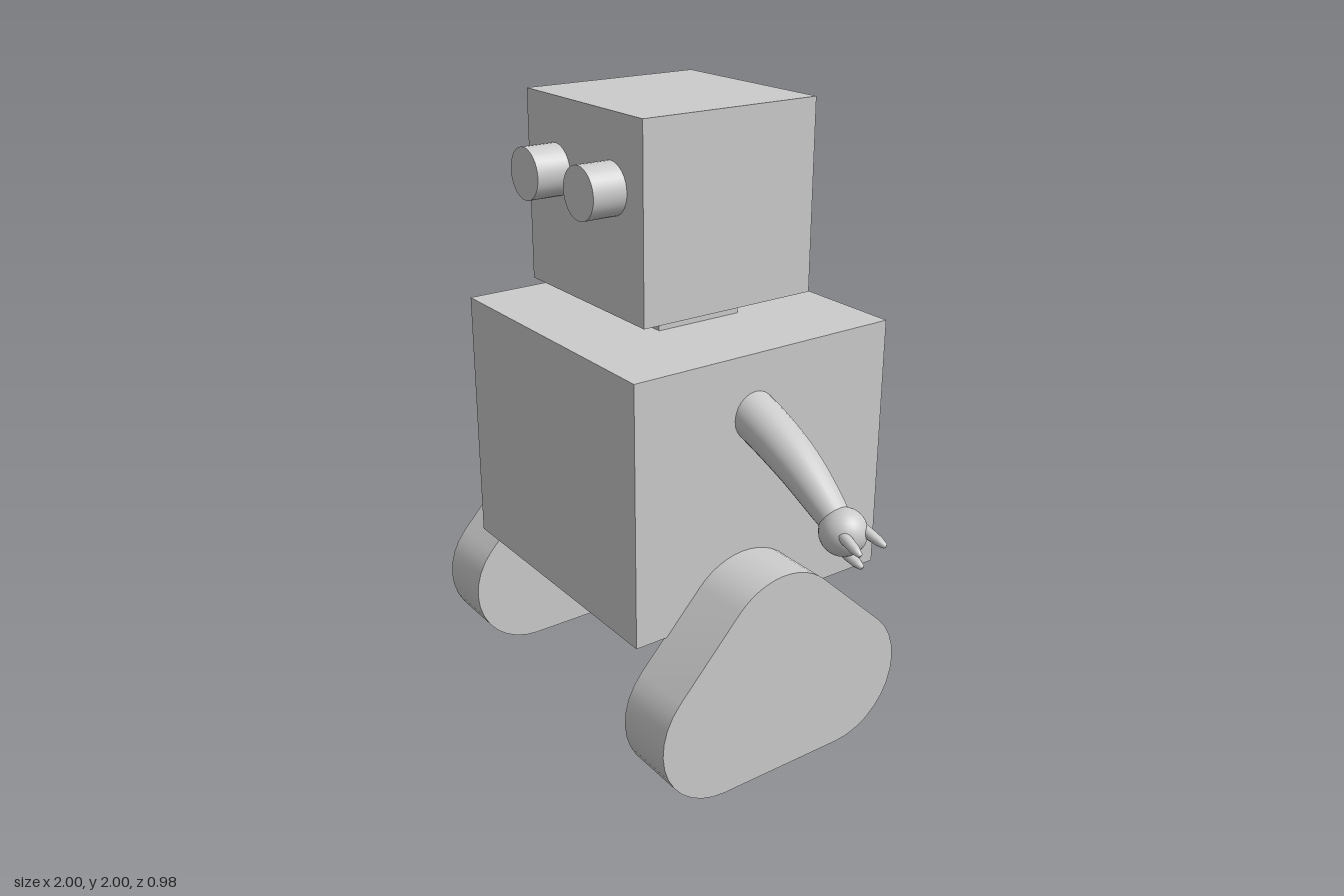
import * as THREE from 'three';
import { toCreasedNormals } from 'three/addons/utils/BufferGeometryUtils.js';

const CX = 0.005; // middle of the trunk
const ARM_Z = 0.022;

export function createModel() {
  const model = new THREE.Group();
  const material = new THREE.MeshStandardMaterial({ color: 0xcccccc });

  function add(name, geometry, x = 0, y = 0, z = 0, parent = model) {
    const mesh = new THREE.Mesh(geometry, material);
    mesh.name = name;
    mesh.position.set(x, y, z);
    parent.add(mesh);
    return mesh;
  }

  // Trunk, neck and head
  add('body', new THREE.BoxGeometry(0.945, 0.84, 0.94), CX, 0.9, -0.02);
  add('neck', new THREE.BoxGeometry(0.3, 0.12, 0.3), CX, 1.362, -0.01);
  add('head', new THREE.BoxGeometry(0.62, 0.597, 0.615), CX, 1.7015, -0.003);

  // Tracks: a belt wrapped around three wheels of equal radius
  const r = 0.23;
  const front = [0.26, r], top = [0.05, 0.455], back = [-0.19, r];
  const a1 = Math.atan2(front[0] - top[0], top[1] - front[1]);
  const a2 = Math.atan2(top[0] - back[0], back[1] - top[1]);
  const belt = new THREE.Shape();
  belt.absarc(...front, r, -Math.PI / 2, a1);
  belt.absarc(...top, r, a1, a2);
  belt.absarc(...back, r, a2, Math.PI * 1.5);
  const trackGeometry = toCreasedNormals(
    new THREE.ExtrudeGeometry(belt, { depth: 0.2, bevelEnabled: false, curveSegments: 6 })
      .translate(0, 0, -0.1).rotateY(-Math.PI / 2), 0.5);

  const eyeGeometry = new THREE.CylinderGeometry(0.08, 0.08, 0.13, 32).rotateX(Math.PI / 2);

  // Tapered finger with a round tip, pointing along +y
  const fingerGeometry = new THREE.LatheGeometry(
    [[0, 0], [0.017, 0], [0.017, 0.035], [0.014, 0.075], [0.008, 0.096], [0, 0.1]]
      .map(([x, y]) => new THREE.Vector2(x, y)), 12);

  // Arm: a curved tube whose rings shrink towards the wrist
  function armGeometry(side) {
    const path = new THREE.CatmullRomCurve3(
      [[0.38, 1.145], [0.48, 1.123], [0.675, 1.042], [0.85, 0.93]]
        .map(([x, y]) => new THREE.Vector3(side * x, y, ARM_Z)));
    const rings = 24, sides = 24;
    const geometry = new THREE.TubeGeometry(path, rings, 1, sides);
    const position = geometry.attributes.position;
    const vertex = new THREE.Vector3();
    for (let i = 0; i <= rings; i++) {
      const t = i / rings;
      const centre = path.getPointAt(t);
      const radius = 0.075 - 0.029 * t ** 2.5;
      for (let j = 0; j <= sides; j++) {
        const k = i * (sides + 1) + j;
        vertex.fromBufferAttribute(position, k).sub(centre).multiplyScalar(radius).add(centre);
        position.setXYZ(k, vertex.x, vertex.y, vertex.z);
      }
    }
    geometry.computeBoundingSphere();
    return geometry;
  }

  function addFinger(name, parent, from, to) {
    const start = new THREE.Vector3(...from);
    const direction = new THREE.Vector3(...to).sub(start);
    const finger = add(name, fingerGeometry, ...from, parent);
    finger.scale.y = direction.length() / 0.1;
    finger.quaternion.setFromUnitVectors(new THREE.Vector3(0, 1, 0), direction.normalize());
  }

  for (const side of [1, -1]) {
    const label = side > 0 ? 'left' : 'right';
    add(label + 'Eye', eyeGeometry, CX + side * 0.15, 1.78, 0.35);
    add(label + 'Track', trackGeometry, CX + side * 0.565, 0, 0);

    const arm = new THREE.Group();
    arm.name = label + 'Arm';
    model.add(arm);
    add(label + 'ArmTube', armGeometry(side), 0, 0, 0, arm);
    add(label + 'Hand', new THREE.SphereGeometry(0.07, 24, 16), side * 0.877, 0.911, ARM_Z, arm);
    for (const dz of [1, -1]) {
      addFinger(label + (dz > 0 ? 'FrontFinger' : 'BackFinger'), arm,
        [side * 0.9, 0.929, ARM_Z + dz * 0.035], [side * 1, 0.902, ARM_Z + dz * 0.047]);
    }
    addFinger(label + 'Thumb', arm, [side * 0.87, 0.856, ARM_Z], [side * 0.962, 0.834, ARM_Z]);
  }

  return model;
}
